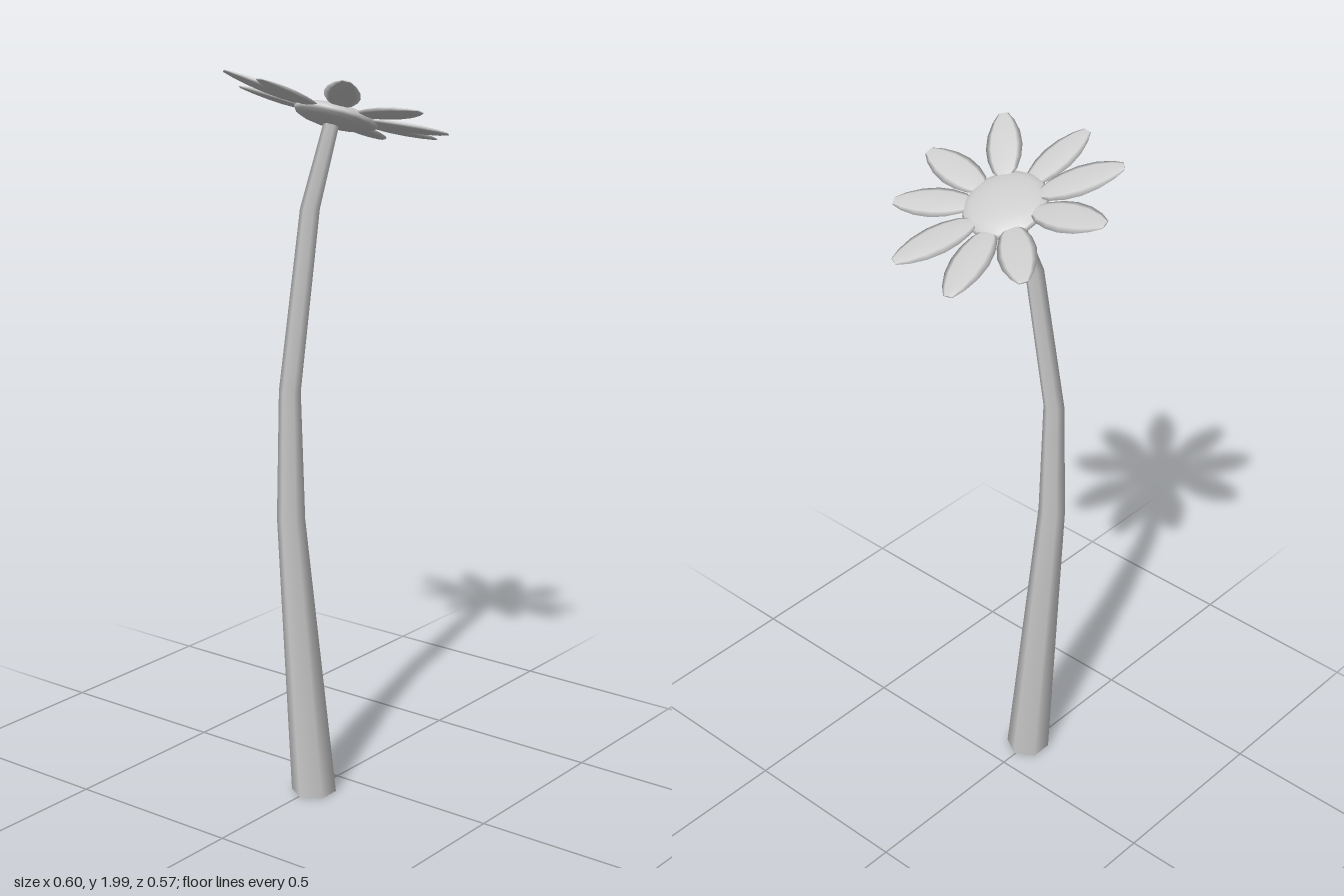
import * as THREE from 'three';

const material = new THREE.MeshStandardMaterial({ color: 0xcccccc });
const headCentre = new THREE.Vector3(0.008, 1.867, 0.016);
const headNormal = new THREE.Vector3(0, 1, -0.42).normalize();

// Six-sided tapering stem: each ring is [y, z, radius], top to bottom
function createStem() {
  const rings = [
    [1.865, 0.025, 0.021],
    [1.64, 0.122, 0.026],
    [1.17, 0.209, 0.029],
    [0.82, 0.207, 0.038],
    [0, 0.113, 0.062],
  ];
  const geometry = new THREE.CylinderGeometry(1, 1, 1, 6, rings.length - 1);
  const p = geometry.attributes.position;
  for (let i = 0; i < p.count; i++) {
    const [y, z, r] = rings[Math.round((0.5 - p.getY(i)) * (rings.length - 1))];
    p.setXYZ(i, 0.005 + p.getX(i) * r, y, z + p.getZ(i) * r);
  }
  const stem = new THREE.Mesh(geometry, material);
  stem.name = 'stem';
  return stem;
}

// Flattened petal along +y, one unit long, with a blunt tip
function createPetalGeometry() {
  const profile = [
    [0, 0], [0.06, 0.03], [0.15, 0.15], [0.205, 0.32], [0.225, 0.5],
    [0.2, 0.7], [0.135, 0.88], [0.06, 1], [0, 1],
  ].map(([x, y]) => new THREE.Vector2(x, y));
  return new THREE.LatheGeometry(profile, 8);
}

// Petal pointing from the flower centre to its tip
function createPetal(geometry, tip) {
  const root = headCentre.clone().lerp(tip, 0.26);
  const along = tip.clone().sub(root);
  const length = along.length();
  along.normalize();
  const across = new THREE.Vector3().crossVectors(along, headNormal).normalize();
  const up = new THREE.Vector3().crossVectors(across, along);
  const petal = new THREE.Mesh(geometry, material);
  petal.name = 'petal';
  petal.position.copy(root);
  petal.quaternion.setFromRotationMatrix(new THREE.Matrix4().makeBasis(across, along, up));
  petal.scale.set(length, length, length * 0.15);
  return petal;
}

export function createModel() {
  const model = new THREE.Group();
  model.name = 'flower';
  model.add(createStem());

  // Domed disc in the middle of the tilted flower head
  const disc = new THREE.Mesh(new THREE.SphereGeometry(1, 16, 10), material);
  disc.name = 'flowerCentre';
  disc.position.copy(headCentre);
  disc.quaternion.setFromUnitVectors(new THREE.Vector3(0, 1, 0), headNormal);
  disc.scale.set(0.113, 0.027, 0.113);
  model.add(disc);

  // Nine slightly uneven petals, given by their tips
  const tips = [
    [0.12, 1.785, -0.27], [0.278, 1.83, -0.107], [0.298, 1.905, 0.045],
    [0.187, 1.988, 0.205], [-0.03, 1.985, 0.28], [-0.22, 1.985, 0.195],
    [-0.299, 1.92, 0.032], [-0.222, 1.82, -0.175], [-0.073, 1.768, -0.281],
  ];
  const petals = new THREE.Group();
  petals.name = 'petals';
  const petalGeometry = createPetalGeometry();
  for (const tip of tips) petals.add(createPetal(petalGeometry, new THREE.Vector3(...tip)));
  model.add(petals);
  return model;
}
